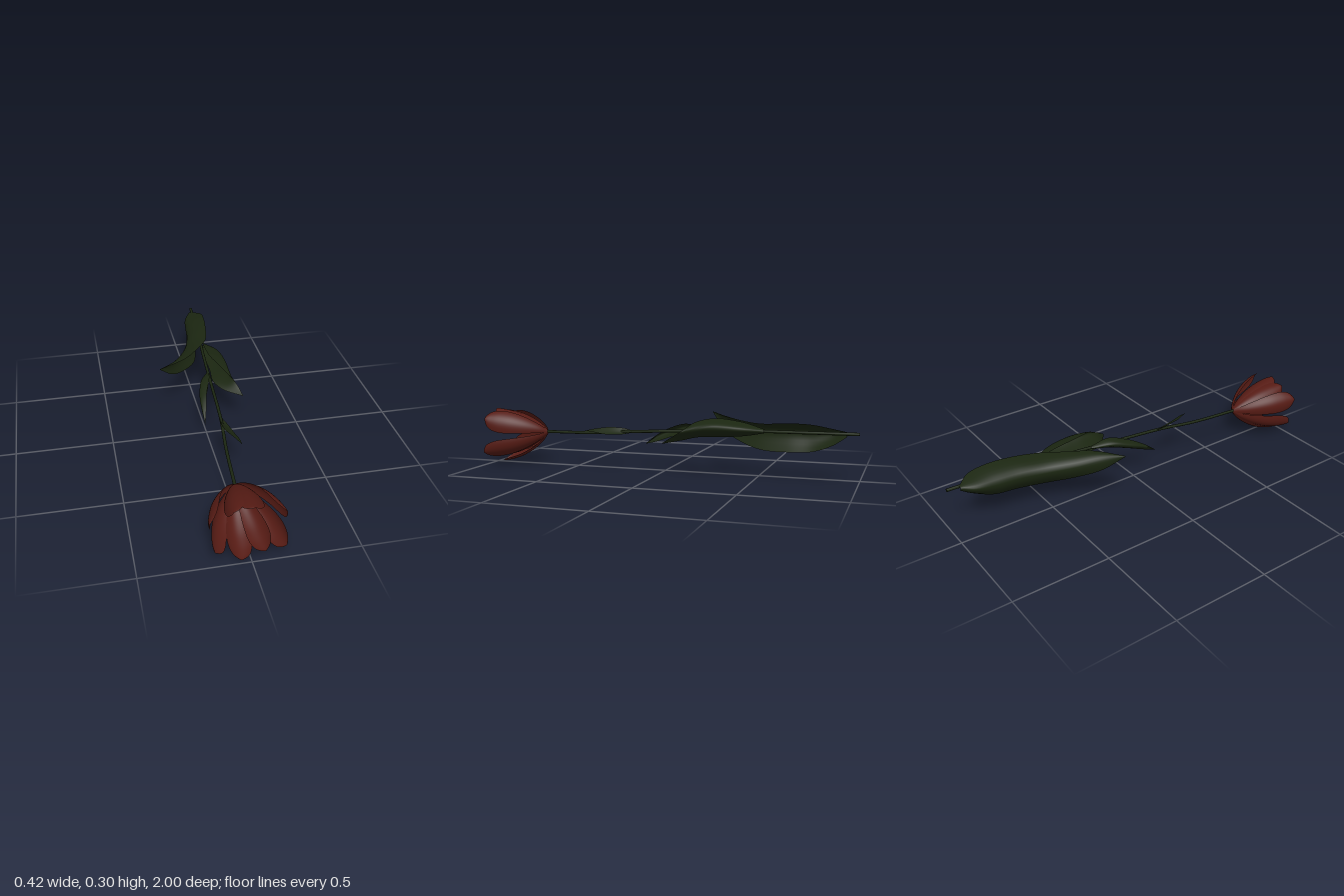
import * as THREE from 'three';

const green = new THREE.MeshStandardMaterial({ color: 0x1b2611, side: THREE.DoubleSide });
const red = new THREE.MeshStandardMaterial({ color: 0x561b14, side: THREE.DoubleSide });

// Curved blade lofted through rows of [z, edgeX, edgeY, ribX, ribY, edgeX, edgeY]
function blade(rows, nu = 28, nv = 12) {
  const [edgeA, rib, edgeB] = [1, 3, 5].map((k) => new THREE.CatmullRomCurve3(
    rows.map((r) => new THREE.Vector3(r[k], r[k + 1], r[0])), false, 'catmullrom', 0.5));
  const geo = new THREE.PlaneGeometry(1, 1, nv, nu);
  const pos = geo.attributes.position;
  for (let i = 0; i <= nu; i++) {
    const a = edgeA.getPoint(i / nu), m = rib.getPoint(i / nu), b = edgeB.getPoint(i / nu);
    for (let j = 0; j <= nv; j++) {
      // parabola through both edges and the midrib
      const v = (2 * j) / nv - 1;
      const p = new THREE.Vector3()
        .addScaledVector(a, (v * (v - 1)) / 2)
        .addScaledVector(m, 1 - v * v)
        .addScaledVector(b, (v * (v + 1)) / 2);
      pos.setXYZ(i * (nv + 1) + j, p.x, p.y, p.z);
    }
  }
  geo.computeVertexNormals();
  return geo;
}

// Petal along +z, bulging towards +y: rows of [z, radius fraction, half width]
const petalRows = [
  [0, 0.03, 0.006], [0.04, 0.3, 0.022], [0.1, 0.57, 0.04], [0.17, 0.79, 0.054],
  [0.235, 0.92, 0.058], [0.28, 0.98, 0.048], [0.302, 1, 0.03], [0.312, 1, 0.008],
];
function petal(reach, width, length) {
  return blade(petalRows.map(([z, f, h]) => {
    const w = h * width, y = f * reach, e = y - Math.min(0.42 * w, 0.5 * y);
    return [z * length, -w, e, 0, y, w, e];
  }));
}

export function createModel() {
  const root = new THREE.Group();
  const add = (name, geo, mat, parent = root) => {
    const mesh = new THREE.Mesh(geo, mat);
    mesh.name = name;
    parent.add(mesh);
    return mesh;
  };

  // Stem
  const path = new THREE.CatmullRomCurve3([
    [0.1, 0.245, -1], [0.09, 0.242, -0.75], [0.065, 0.235, -0.4], [0.05, 0.22, -0.1],
    [0.035, 0.203, 0.2], [0.012, 0.186, 0.42], [-0.008, 0.179, 0.69],
  ].map((p) => new THREE.Vector3(...p)));
  add('stem', new THREE.TubeGeometry(path, 60, 0.008, 10), green);
  const end = add('stemEnd', new THREE.CircleGeometry(0.008, 10), green);
  end.position.set(0.1, 0.245, -1);
  end.rotation.y = Math.PI;

  // Receptacle at the heart of the flower
  const heart = add('receptacle', new THREE.SphereGeometry(0.009, 14, 10), green);
  heart.position.set(-0.008, 0.179, 0.688);

  // Petals: [angle in degrees, reach, width, length]
  const flower = new THREE.Group();
  flower.name = 'flower';
  flower.position.set(-0.008, 0.178, 0.685);
  root.add(flower);
  [
    [83, 0.123, 1, 1], [126, 0.127, 0.9, 0.97], [162, 0.188, 1, 0.98], [214, 0.186, 1, 0.98],
    [259, 0.18, 0.97, 0.95], [298, 0.153, 0.9, 0.97], [326, 0.192, 0.95, 1.01], [27, 0.172, 1.1, 0.99],
  ].forEach(([deg, reach, width, length]) => {
    const p = add('petal', petal(reach, width, length), red, flower);
    p.rotation.z = THREE.MathUtils.degToRad(deg - 90);
  });

  // Leaves, from the cut end of the stem towards the flower
  add('largeLeaf', blade([
    [-0.94, 0.09, 0.252, 0.075, 0.245, 0.085, 0.228],
    [-0.87, 0.138, 0.272, 0.042, 0.24, 0.09, 0.182],
    [-0.77, 0.138, 0.288, 0.03, 0.238, 0.075, 0.146],
    [-0.65, 0.125, 0.288, 0.015, 0.238, 0.065, 0.138],
    [-0.52, 0.098, 0.278, -0.02, 0.238, 0.03, 0.138],
    [-0.4, 0.02, 0.282, -0.075, 0.25, -0.045, 0.162],
    [-0.29, -0.07, 0.292, -0.135, 0.275, -0.13, 0.208],
    [-0.2, -0.21, 0.3, -0.212, 0.299, -0.212, 0.296],
  ], 44), green);
  add('middleLeaf', blade([
    [-0.54, 0.083, 0.25, 0.095, 0.24, 0.085, 0.23],
    [-0.43, 0.075, 0.28, 0.15, 0.25, 0.078, 0.21],
    [-0.3, 0.078, 0.295, 0.165, 0.255, 0.08, 0.2],
    [-0.2, 0.118, 0.278, 0.165, 0.238, 0.075, 0.195],
    [-0.12, 0.182, 0.222, 0.168, 0.212, 0.118, 0.18],
    [-0.05, 0.21, 0.176, 0.21, 0.175, 0.208, 0.173],
  ], 36), green);
  add('smallLeaf', blade([
    [-0.23, 0.055, 0.235, 0.045, 0.228, 0.055, 0.218],
    [-0.13, 0.042, 0.258, -0.005, 0.238, 0.035, 0.204],
    [-0.03, 0.008, 0.23, -0.03, 0.21, 0.002, 0.18],
    [0.05, -0.01, 0.187, -0.034, 0.178, -0.012, 0.152],
    [0.12, -0.03, 0.136, -0.031, 0.135, -0.03, 0.133],
  ]), green);
  add('topLeaf', blade([
    [0.17, 0.03, 0.208, 0.036, 0.198, 0.042, 0.203],
    [0.23, 0.022, 0.22, 0.045, 0.196, 0.066, 0.19],
    [0.31, 0.03, 0.222, 0.06, 0.202, 0.082, 0.19],
    [0.37, 0.06, 0.216, 0.075, 0.208, 0.09, 0.2],
    [0.42, 0.088, 0.206, 0.089, 0.205, 0.09, 0.206],
  ]), green);

  return root;
}
